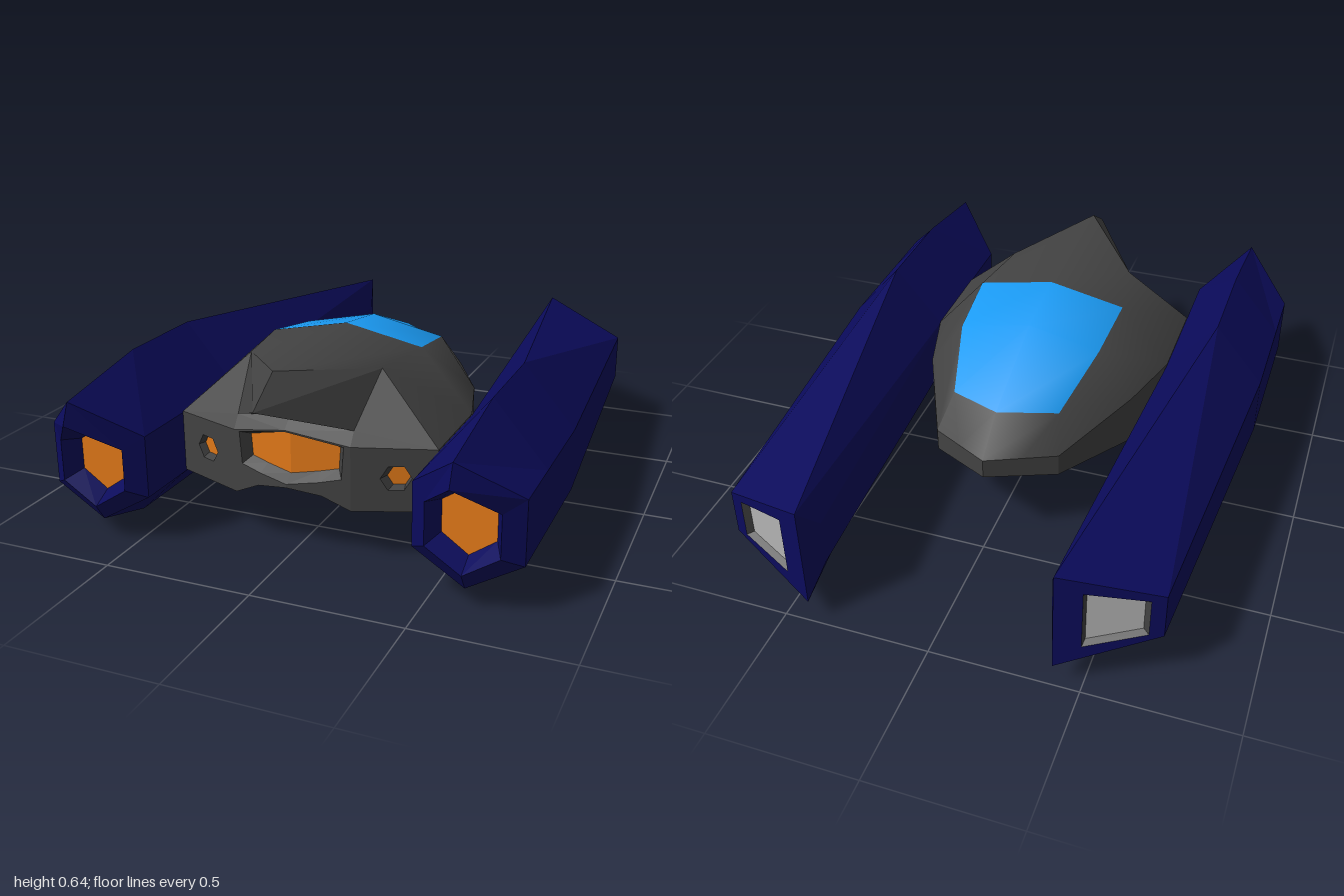
import * as THREE from 'three';

const BLUE = 0x0b0b5c, GREY = 0x424242, ORANGE = 0xe07818, GLASS = 0x1a9bf5, PALE = 0xb4b4b4;

const mirror = (pts) => pts.map(([x, y, z]) => [-x, y, z]);
// mirror a half outline back across x = 0, skipping its centre point
const both = (half) => [...half, ...mirror(half.slice(0, -1)).reverse()];

// Skin a list of equal-length rings; pick(row, column) selects quads, flip reverses the faces
function loft(rings, { closed = true, capStart = false, capEnd = false, flip = false, smooth = false, pick } = {}) {
  const n = rings[0].length, all = [], chosen = [];
  const tri = (keep, a, b, c) => {
    const t = flip ? [a, c, b] : [a, b, c];
    all.push(...t);
    if (keep) chosen.push(...t);
  };
  for (let r = 0; r < rings.length - 1; r++) {
    for (let i = 0; i < (closed ? n : n - 1); i++) {
      const j = (i + 1) % n, a = r * n, b = a + n, keep = !pick || pick(r, i);
      tri(keep, a + i, a + j, b + j);
      tri(keep, a + i, b + j, b + i);
    }
  }
  const last = (rings.length - 1) * n;
  for (let i = 1; i < n - 1; i++) {
    if (capStart) tri(true, 0, i + 1, i);
    if (capEnd) tri(true, last, last + i, last + i + 1);
  }
  const g = new THREE.BufferGeometry();
  g.setAttribute('position', new THREE.Float32BufferAttribute(rings.flat(2), 3));
  g.setIndex(all);
  if (smooth) g.computeVertexNormals();
  g.setIndex(chosen);
  if (smooth) return g;
  const flat = g.toNonIndexed();
  flat.computeVertexNormals();
  return flat;
}

// One flat polygon
function polygon(pts, flip = false) {
  const idx = [];
  for (let i = 1; i < pts.length - 1; i++) idx.push(0, ...(flip ? [i + 1, i] : [i, i + 1]));
  const g = new THREE.BufferGeometry();
  g.setAttribute('position', new THREE.Float32BufferAttribute(pts.flat(), 3));
  g.setIndex(idx);
  const flat = g.toNonIndexed();
  flat.computeVertexNormals();
  return flat;
}

function add(parent, name, geometry, color, flatShading = true) {
  const m = new THREE.Mesh(geometry, new THREE.MeshStandardMaterial({ color, flatShading, side: THREE.DoubleSide }));
  m.name = name;
  parent.add(m);
}

// Six corners: outer upper, top, inner upper, inner lower, bottom, outer lower
function hex(xo, xt, xi, yTop, yHi, yLo, yBot, zs) {
  const [zo, zt, zi, zb] = zs;
  return [[xo, yHi, zo], [xt, yTop, zt], [xi, yHi, zi], [xi, yLo, zi], [xt, yBot, zb], [xo, yLo, zo]];
}

function engine(s) {
  const group = new THREE.Group();
  group.name = s > 0 ? 'leftEngine' : 'rightEngine';
  const side = (ring) => (s > 0 ? ring : mirror(ring));
  const flip = s < 0;
  const rear = hex(0.72, 0.41, 0.38, 0.465, 0.36, 0.195, 0.09, [-0.87, -1, -0.91, -1]);
  const lamp = hex(0.705, 0.62, 0.535, 0.385, 0.33, 0.225, 0.165, [0.8, 0.8, 0.8, 0.8]);
  const rings = [
    rear,
    hex(0.795, 0.62, 0.45, 0.585, 0.38, 0.17, 0.005, [0.25, 0.25, 0.25, 0.25]),
    hex(0.795, 0.62, 0.45, 0.585, 0.38, 0.17, 0.005, [0.6, 0.6, 0.6, 0.6]),
    hex(0.795, 0.62, 0.45, 0.525, 0.38, 0.17, 0.07, [0.82, 0.97, 0.82, 0.83]),
    hex(0.735, 0.62, 0.505, 0.455, 0.345, 0.205, 0.13, [0.87, 1, 0.87, 0.87]),
    lamp,
  ].map(side);
  add(group, 'engineHull', loft(rings, { flip }), BLUE);
  add(group, 'engineLamp', polygon(side(lamp), flip), ORANGE);

  // Slanted rear end with a sunken panel on its outer face
  const [outHi, top, inHi, inLo, bottom, outLo] = rear;
  const at = (t, y) => [0.72 - 0.31 * t, y, -0.87 - 0.13 * t];
  const frame = [at(0.14, 0.345), at(0.14, 0.205), at(0.74, 0.168), at(0.74, 0.39)];
  const inner = [at(0.18, 0.34), at(0.18, 0.212), at(0.7, 0.18), at(0.7, 0.375)]
    .map(([x, y, z]) => [x - 0.008, y, z + 0.02]);
  add(group, 'rearFrame', loft([[outHi, outLo, bottom, top], frame].map(side), { flip }), BLUE);
  add(group, 'rearRecess', loft([frame, inner].map(side), { flip }), GREY);
  add(group, 'rearPanel', polygon(side(inner), flip), PALE);
  add(group, 'rearInnerFace', polygon(side([top, bottom, inLo, inHi]), flip), BLUE);
  return group;
}

function cabin() {
  const group = new THREE.Group();
  group.name = 'cabin';

  // Upper shell: each row runs rim, shoulder, centre, shoulder, rim
  const rows = [
    [[0.22, 0.35, -0.345], [0.11, 0.36, -0.415], [0, 0.38, -0.485]],
    [[0.22, 0.35, -0.345], [0.19, 0.455, -0.25], [0, 0.485, -0.35]],
    [[0.38, 0.385, 0], [0.255, 0.56, 0], [0, 0.615, 0]],
    [[0.45, 0.385, 0.25], [0.27, 0.595, 0.25], [0, 0.65, 0.25]],
    [[0.45, 0.385, 0.585], [0.23, 0.595, 0.5], [0, 0.65, 0.8]],
  ].map(both);
  const isGlass = (r, i) => (r === 1 || r === 2) && (i === 1 || i === 2);
  add(group, 'upperShell', loft(rows, { closed: false, smooth: true, pick: (r, i) => !isGlass(r, i) }), GREY, false);
  add(group, 'canopyGlass', loft(rows, { closed: false, smooth: true, pick: isGlass }), GLASS, false);

  // Rim band and hollow underside
  const rimTop = both([[0.45, 0.385, 0.585], [0.45, 0.385, 0.25], [0.38, 0.385, 0], [0.22, 0.35, -0.345], [0, 0.38, -0.485]]);
  const rimLow = both([[0.45, 0.175, 0.585], [0.45, 0.175, 0.25], [0.38, 0.2, 0], [0.22, 0.27, -0.345], [0, 0.31, -0.485]]);
  const frontLow = mirror(both([[0.2, 0.18, 0.69], [0.11, 0.225, 0.71], [0, 0.245, 0.735]]));
  const hollow = [
    ...both([[0.2, 0.2, 0.3], [0.21, 0.2, 0.2], [0.19, 0.22, 0], [0.14, 0.27, -0.2], [0, 0.31, -0.3]]),
    ...mirror(both([[0.15, 0.215, 0.33], [0.1, 0.235, 0.35], [0, 0.25, 0.37]])),
  ];
  const ceiling = hollow.map(([x, , z]) => [x * 0.75, 0.42, z * 0.75]);
  add(group, 'rimBand', loft([rimLow, rimTop], { closed: false }), GREY);
  add(group, 'underside', loft([hollow, [...rimLow, ...frontLow]]), GREY);
  add(group, 'undersideHollow', loft([ceiling, hollow], { capStart: true }), 0x606060);

  // Beak, brow and ledge facets, one set per side
  const C = [0.45, 0.385, 0.585], S = [0.23, 0.595, 0.5], G = [0.2, 0.438, 0.66], H = [0.2, 0.395, 0.69];
  const T = [0, 0.65, 0.8], B = [0, 0.565, 0.935], J = [0, 0.475, 0.69], K = [0, 0.438, 0.735];
  const facets = { browCheek: [C, S, G], beakSide: [B, G, S, T], beakUnderside: [J, G, B], ledgeSide: [H, C, G], ledgeCentre: [K, H, G, J] };
  for (const s of [1, -1]) {
    const side = (ring) => (s > 0 ? ring : mirror(ring));
    const flip = s < 0;
    for (const [name, pts] of Object.entries(facets)) add(group, name, polygon(side(pts), flip), GREY);

    // Side front panel with a sunken six-sided light
    const onPanel = (x, y, depth = 0) => [x, y, 0.585 + (0.45 - x) * 0.42 - depth];
    const ring = (r, depth) => Array.from({ length: 6 }, (_, i) =>
      onPanel(0.33 + r * Math.cos(i * Math.PI / 3), 0.29 + r * Math.sin(i * Math.PI / 3), depth));
    const edge = [[0.45, 0.28], [0.45, 0.385], [0.2, 0.395], [0.2, 0.29], [0.2, 0.18], [0.45, 0.175]].map(([x, y]) => onPanel(x, y));
    const light = ring(0.035, 0.03);
    add(group, 'frontSidePanel', loft([edge, ring(0.046, 0), light].map(side), { flip }), GREY);
    add(group, 'frontLight', polygon(side(light), flip), ORANGE);
  }

  // Centre front panel with a sunken window; loops run from top round the left half and back
  const loop = (half, depth = 0) => {
    const pts = half.map(([x, y]) => [x, y, 0.735 - Math.abs(x) * 0.225 - depth]);
    return [...mirror(pts), ...pts.slice(1, -1).reverse()];
  };
  const panel = loop([[0, 0.438], [0.2, 0.395], [0.2, 0.18], [0.11, 0.225], [0, 0.245]]);
  const frame = loop([[0, 0.433], [0.18, 0.393], [0.172, 0.285], [0.1, 0.27], [0, 0.257]]);
  const pane = loop([[0, 0.422], [0.155, 0.378], [0.15, 0.305], [0.09, 0.293], [0, 0.28]], 0.04);
  add(group, 'frontCentrePanel', loft([panel, frame, pane]), GREY);
  add(group, 'frontWindow', polygon(pane), ORANGE);
  return group;
}

export function createModel() {
  const model = new THREE.Group();
  model.name = 'spacecraft';
  model.add(cabin(), engine(1), engine(-1));
  return model;
}
